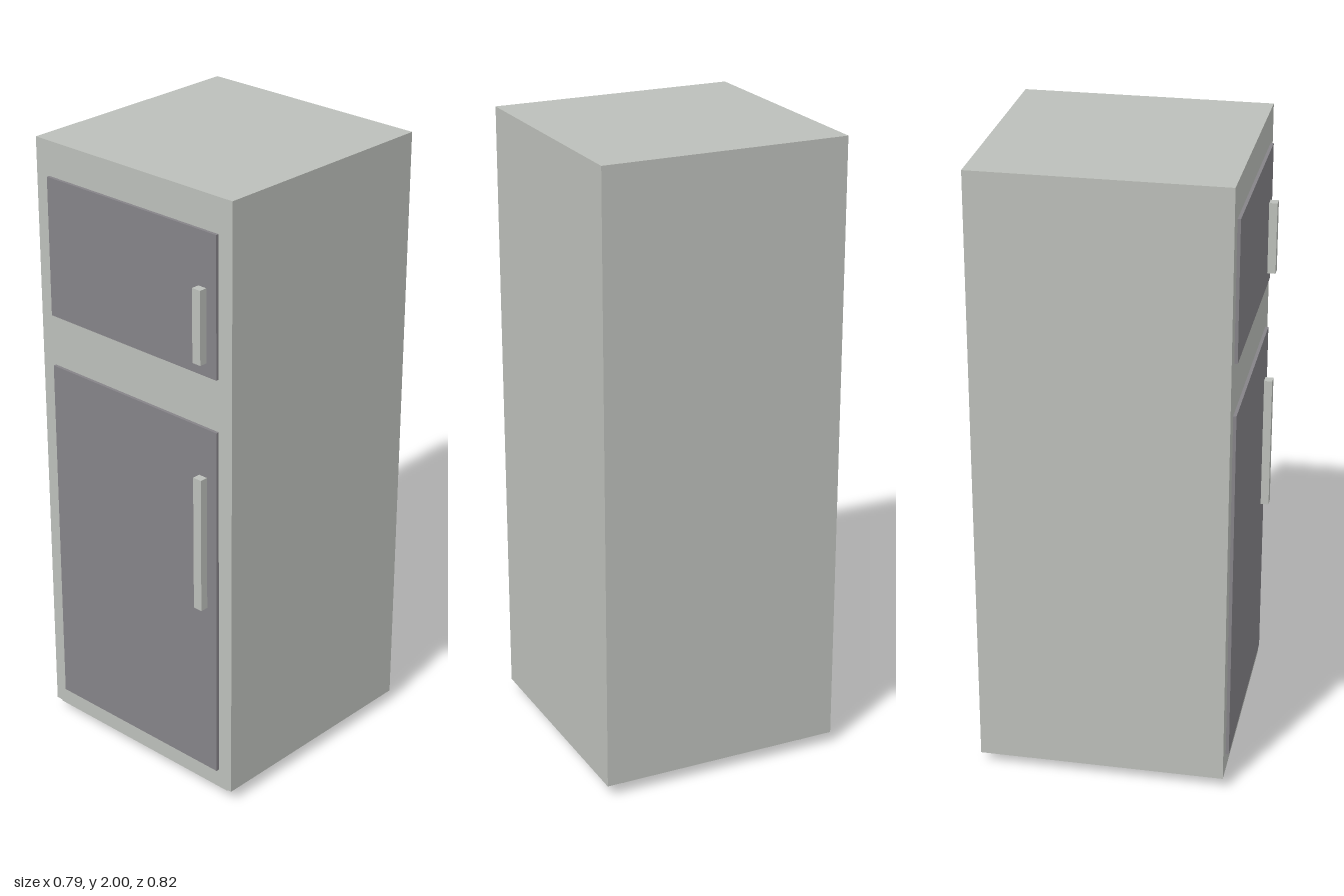
import * as THREE from 'three';

export function createModel() {
  const model = new THREE.Group();
  const bodyGrey = new THREE.MeshStandardMaterial({ color: 0xbcbfba });
  bodyGrey.name = 'light grey';
  const doorGrey = new THREE.MeshStandardMaterial({ color: 0x858388 });
  doorGrey.name = 'dark grey';

  // Box given by its lower and upper corners
  function box(name, material, [x0, y0, z0], [x1, y1, z1]) {
    const mesh = new THREE.Mesh(new THREE.BoxGeometry(x1 - x0, y1 - y0, z1 - z0), material);
    mesh.position.set((x0 + x1) / 2, (y0 + y1) / 2, (z0 + z1) / 2);
    mesh.name = name;
    model.add(mesh);
  }

  // Cabinet and the thin strip under its front edge
  box('cabinet', bodyGrey, [-0.393, 0.038, -0.41], [0.393, 2, 0.374]);
  box('kickStrip', bodyGrey, [-0.373, 0.032, 0.335], [0.373, 0.038, 0.372]);

  // Doors with their handles: door bottom, door top, handle bottom, handle top
  const doors = [
    ['fridge', 0.097, 1.277, 0.675, 1.118],
    ['freezer', 1.445, 1.89, 1.488, 1.72],
  ];
  for (const [name, y0, y1, h0, h1] of doors) {
    box(name + 'Door', doorGrey, [-0.341, y0, 0.374], [0.341, y1, 0.384]);
    box(name + 'Handle', bodyGrey, [0.272, h0, 0.384], [0.303, h1, 0.41]);
  }

  // Four short round feet
  const footGeometry = new THREE.CylinderGeometry(0.023, 0.023, 0.038, 12);
  for (const x of [-0.314, 0.314]) {
    for (const z of [-0.33, 0.3]) {
      const foot = new THREE.Mesh(footGeometry, bodyGrey);
      foot.position.set(x, 0.019, z);
      foot.name = 'foot';
      model.add(foot);
    }
  }
  return model;
}
